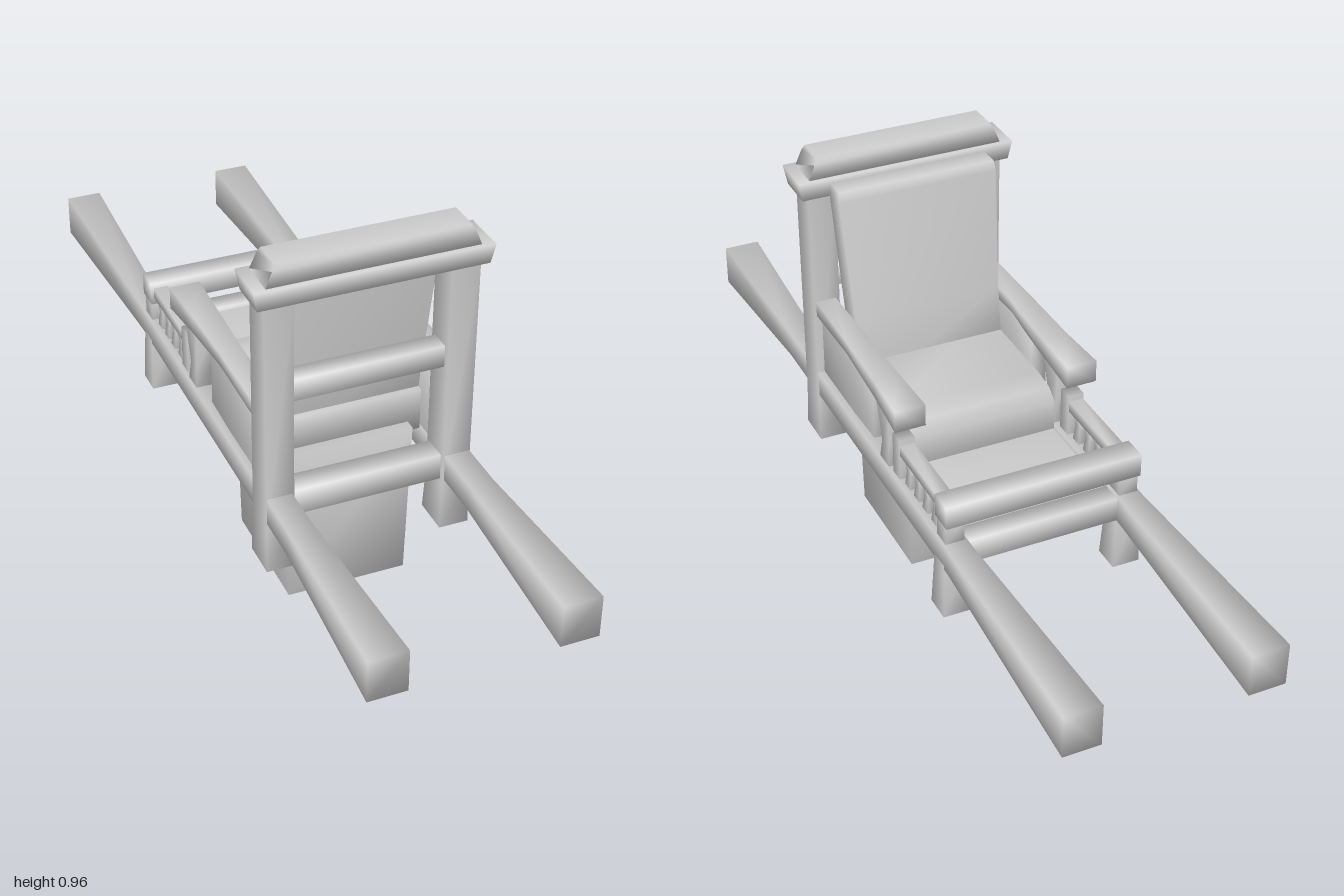
import * as THREE from 'three';

const material = new THREE.MeshStandardMaterial({ color: 0xcccccc });

// Four-sided loft with shared corners, so the shading stays soft.
// along 'y': sections are [y, x0, x1, z0, z1]; along 'z': [z, x0, x1, y0, y1]
function loft(name, along, sections) {
  const pos = [], index = [];
  for (const [t, a0, a1, b0, b1] of sections) {
    const ring = along === 'y'
      ? [[a0, t, b0], [a0, t, b1], [a1, t, b1], [a1, t, b0]]
      : [[a0, b0, t], [a1, b0, t], [a1, b1, t], [a0, b1, t]];
    ring.forEach((p) => pos.push(...p));
  }
  for (let s = 0; s < sections.length - 1; s++) {
    for (let i = 0; i < 4; i++) {
      const a = s * 4 + i, b = s * 4 + (i + 1) % 4;
      index.push(a, b, b + 4, a, b + 4, a + 4);
    }
  }
  const e = (sections.length - 1) * 4;
  index.push(0, 2, 1, 0, 3, 2, e, e + 1, e + 2, e, e + 2, e + 3);
  const geo = new THREE.BufferGeometry();
  geo.setAttribute('position', new THREE.Float32BufferAttribute(pos, 3));
  geo.setIndex(index);
  geo.computeVertexNormals();
  const mesh = new THREE.Mesh(geo, material);
  mesh.name = name;
  return mesh;
}

export function createModel() {
  const model = new THREE.Group();
  model.name = 'carryingChair';
  const add = (...args) => model.add(loft(...args));
  const block = (name, x0, x1, y0, y1, z0, z1) =>
    add(name, 'y', [[y0, x0, x1, z0, z1], [y1, x0, x1, z0, z1]]);
  // Adds a part on the left and its mirror on the right
  const pair = (name, along, sections) => {
    add(name + 'Left', along, sections);
    add(name + 'Right', along, sections.map(([t, x0, x1, b0, b1]) => [t, -x1, -x0, b0, b1]));
  };

  // Carrying poles, flared at both ends
  pair('pole', 'z', [
    [-1, 0.168, 0.256, 0.296, 0.4], [-0.42, 0.184, 0.24, 0.319, 0.384],
    [0.55, 0.182, 0.242, 0.319, 0.384], [1, 0.168, 0.258, 0.297, 0.4],
  ]);

  // Tall back posts and short front legs
  pair('backPost', 'y', [
    [0.19, 0.174, 0.245, 0.345, 0.437], [0.3, 0.178, 0.243, 0.35, 0.432],
    [0.87, 0.178, 0.245, 0.352, 0.43],
  ]);
  pair('frontLeg', 'y', [
    [0.19, 0.178, 0.245, -0.407, -0.34], [0.33, 0.184, 0.24, -0.4, -0.348],
  ]);

  // Crest on top of the back posts
  add('crestBase', 'y', [
    [0.867, -0.262, 0.262, 0.342, 0.44], [0.914, -0.27, 0.27, 0.335, 0.447],
  ]);
  add('crestTop', 'y', [
    [0.914, -0.242, 0.242, 0.345, 0.436], [0.95, -0.227, 0.227, 0.348, 0.434],
    [0.963, -0.22, 0.22, 0.352, 0.43],
  ]);

  // Cross bars
  block('upperBackBar', -0.19, 0.19, 0.612, 0.665, 0.365, 0.415);
  block('lowerBackBar', -0.19, 0.19, 0.316, 0.38, 0.36, 0.42);
  block('lowerFrontBar', -0.19, 0.19, 0.32, 0.38, -0.402, -0.348);

  // Storage box under the seat
  add('storageBox', 'y', [
    [0, -0.145, 0.145, 0.012, 0.317], [0.4, -0.152, 0.152, 0.002, 0.326],
  ]);

  // Seat with rounded front, leaning backrest, floor
  add('seat', 'z', [
    [-0.09, -0.182, 0.182, 0.375, 0.45], [-0.06, -0.182, 0.182, 0.375, 0.474],
    [0, -0.182, 0.182, 0.375, 0.482], [0.3, -0.182, 0.182, 0.375, 0.48],
  ]);
  add('backrest', 'y', [
    [0.4, -0.182, 0.182, 0.19, 0.275], [0.59, -0.185, 0.185, 0.227, 0.3],
    [0.88, -0.198, 0.198, 0.274, 0.336], [0.904, -0.195, 0.195, 0.28, 0.334],
  ]);
  block('footFloor', -0.184, 0.184, 0.335, 0.37, -0.36, -0.06);

  // Side panels and armrests with their front supports
  pair('sidePanel', 'z', [
    [0.038, 0.183, 0.222, 0.375, 0.545], [0.15, 0.183, 0.225, 0.375, 0.56],
    [0.355, 0.183, 0.225, 0.375, 0.548],
  ]);
  pair('armrest', 'z', [
    [-0.16, 0.176, 0.25, 0.532, 0.587], [-0.02, 0.18, 0.243, 0.542, 0.586],
    [0.15, 0.186, 0.24, 0.556, 0.588], [0.36, 0.188, 0.238, 0.546, 0.585],
  ]);
  pair('armSupport', 'y', [
    [0.38, 0.188, 0.236, -0.082, -0.03], [0.43, 0.193, 0.232, -0.075, -0.036],
    [0.55, 0.186, 0.238, -0.092, -0.018],
  ]);

  // Foot railing: newels, rails and balusters
  pair('rearNewel', 'y', [
    [0.38, 0.193, 0.232, -0.138, -0.1], [0.49, 0.193, 0.232, -0.138, -0.1],
  ]);
  pair('frontNewel', 'y', [
    [0.38, 0.19, 0.235, -0.398, -0.352], [0.44, 0.19, 0.235, -0.398, -0.352],
  ]);
  pair('sideRail', 'z', [
    [-0.36, 0.195, 0.23, 0.449, 0.476], [-0.11, 0.195, 0.23, 0.449, 0.476],
  ]);
  for (const z of [-0.17, -0.22, -0.267, -0.316]) {
    pair('baluster', 'y', [
      [0.38, 0.198, 0.227, z - 0.015, z + 0.015], [0.42, 0.202, 0.223, z - 0.011, z + 0.011],
      [0.452, 0.198, 0.227, z - 0.015, z + 0.015],
    ]);
  }
  block('frontRail', -0.237, 0.237, 0.432, 0.488, -0.407, -0.346);

  return model;
}
